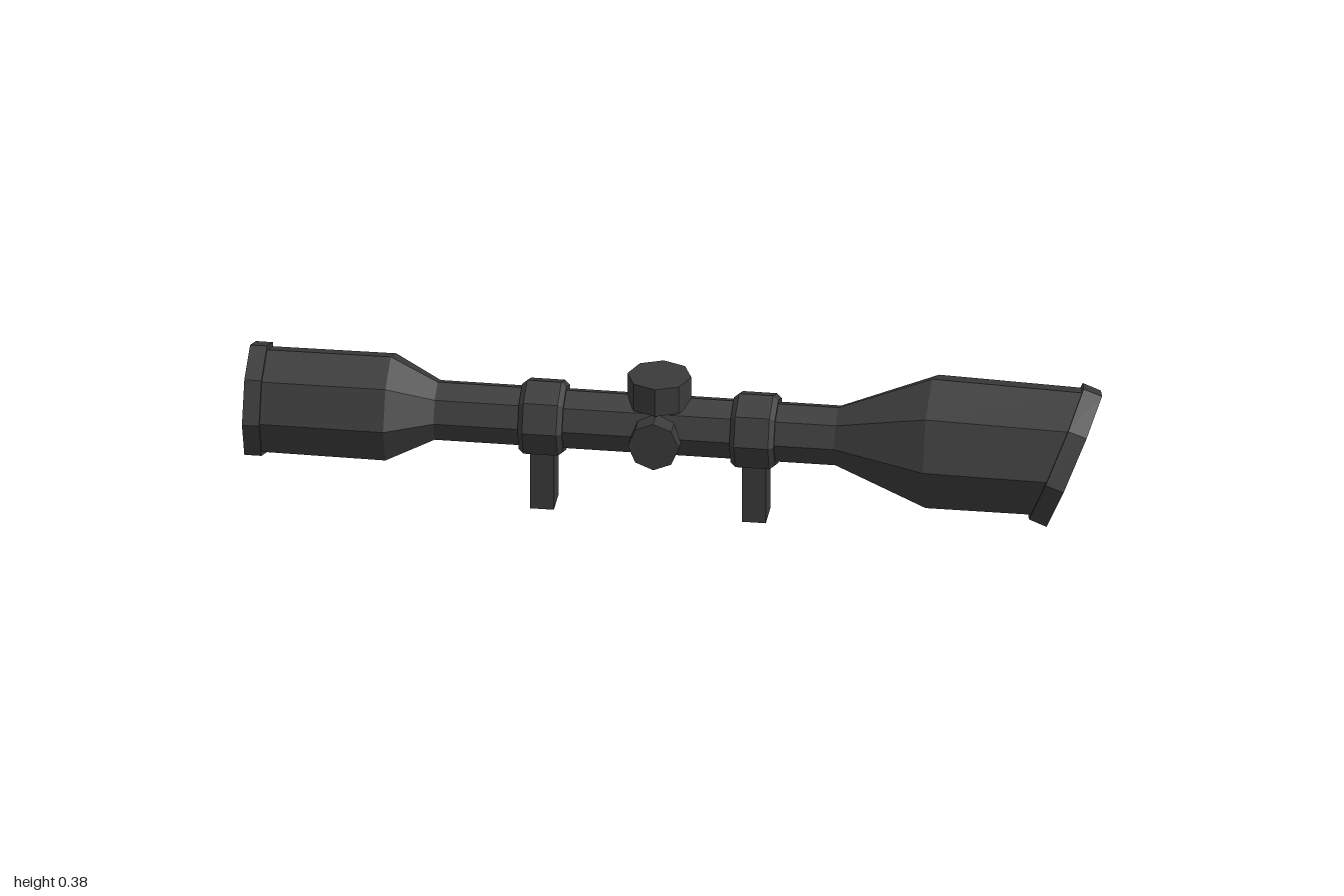
import * as THREE from 'three';

const SIDES = 8;
const AXIS = 0.222;

// Skin octagonal sections along x. Each row: [x, centre y, radius y, radius z, lean of the section]
function loft(rows) {
  const pos = [];
  const point = ([x, cy, ry, rz, lean = 0], j) => {
    const a = (j / SIDES) * Math.PI * 2;
    const dy = Math.cos(a) * ry;
    return [x + lean * dy, cy + dy, Math.sin(a) * rz];
  };
  for (let i = 0; i < rows.length - 1; i++) {
    for (let j = 0; j < SIDES; j++) {
      const a = point(rows[i], j), b = point(rows[i], j + 1);
      const c = point(rows[i + 1], j), d = point(rows[i + 1], j + 1);
      if (rows[i][2] > 0) pos.push(...a, ...b, ...c);
      if (rows[i + 1][2] > 0) pos.push(...b, ...d, ...c);
    }
  }
  const g = new THREE.BufferGeometry();
  g.setAttribute('position', new THREE.Float32BufferAttribute(pos, 3));
  g.computeVertexNormals();
  return g;
}

// Round section on the main axis
const ring = (x, r) => [x, AXIS, r, r, 0];

export function createModel() {
  const group = new THREE.Group();
  const metal = new THREE.MeshStandardMaterial({ color: 0x3a3a3a, flatShading: true });
  metal.name = 'dark metal';
  const glass = new THREE.MeshStandardMaterial({ color: 0x0e0c22, flatShading: true });
  glass.name = 'dark blue glass';

  const add = (name, geometry, material = metal, parent = group) => {
    const mesh = new THREE.Mesh(geometry, material);
    mesh.name = name;
    parent.add(mesh);
    return mesh;
  };

  // Eyepiece rim with recessed bore
  add('eyepieceRim', loft([
    ring(-0.965, 0.088), ring(-1, 0.1), ring(-1, 0.139), ring(-0.96, 0.139), ring(-0.96, 0.128),
  ]));
  add('eyepieceLens', loft([ring(-0.966, 0), ring(-0.966, 0.089)]), glass);

  // Main body from eyepiece to the slanted front end
  add('body', loft([
    ring(-0.96, 0.129), ring(-0.67, 0.131), ring(-0.56, 0.073), ring(0.38, 0.073),
    ring(0.6, 0.163), [0.89, 0.217, 0.157, 0.16, 0.39],
  ]));

  // Slanted objective rim with recessed bore
  add('objectiveRim', loft([
    [0.89, 0.217, 0.15, 0.155, 0.39], [0.89, 0.217, 0.167, 0.175, 0.39],
    [0.932, 0.2, 0.168, 0.173, 0.395], [0.932, 0.204, 0.131, 0.134, 0.395],
    [0.895, 0.206, 0.117, 0.122, 0.395],
  ]));
  add('objectiveLens', loft([[0.896, 0.206, 0.118, 0.123, 0.395], [0.896, 0.206, 0, 0, 0]]), glass);

  // Two mounting clamps with posts
  for (const [name, x] of [['rearMount', -0.31], ['frontMount', 0.187]]) {
    const mount = new THREE.Group();
    mount.name = name;
    add('clamp', loft([
      ring(x - 0.052, 0.07), ring(x - 0.052, 0.082), ring(x - 0.04, 0.093),
      ring(x + 0.04, 0.093), ring(x + 0.052, 0.082), ring(x + 0.052, 0.07),
    ]), metal, mount);
    add('post', new THREE.BoxGeometry(0.056, 0.15, 0.077), metal, mount).position.set(x, 0.075, 0);
    group.add(mount);
  }

  // Adjustment turret and side knobs
  const turretX = -0.04;
  add('turretNeck', new THREE.CylinderGeometry(0.055, 0.055, 0.08, SIDES)).position.set(turretX, 0.245, 0);
  add('turretCap', new THREE.CylinderGeometry(0.075, 0.075, 0.07, SIDES)).position.set(turretX, 0.315, 0);
  for (const side of [1, -1]) {
    const knob = add(side > 0 ? 'frontKnob' : 'backKnob', new THREE.CylinderGeometry(0.06, 0.06, 0.08, SIDES));
    knob.rotation.x = (side * Math.PI) / 2;
    knob.position.set(turretX, 0.215, side * 0.065);
  }
  return group;
}
